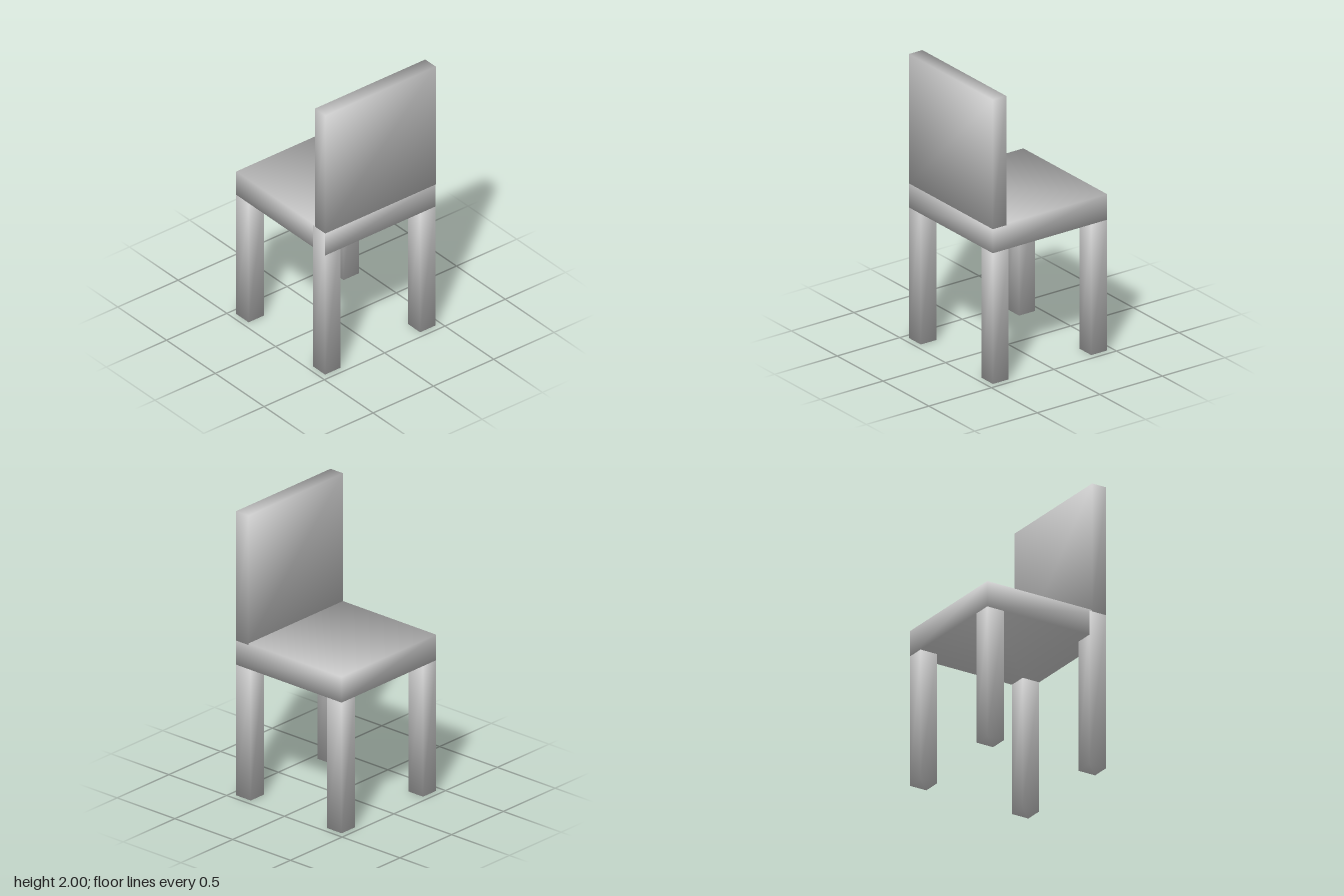
import * as THREE from 'three';
import { mergeVertices } from 'three/addons/utils/BufferGeometryUtils.js';

const material = new THREE.MeshStandardMaterial({ color: 0xcccccc });

// Box between two corners, with one shared normal per corner for soft shading
function softBox(name, [x0, y0, z0], [x1, y1, z1]) {
  const w = x1 - x0, h = y1 - y0, d = z1 - z0;
  let geometry = new THREE.BoxGeometry(w, h, d);
  geometry.deleteAttribute('normal');
  geometry.deleteAttribute('uv');
  geometry = mergeVertices(geometry);
  const p = geometry.attributes.position;
  const normals = [];
  const n = 1 / Math.sqrt(3);
  for (let i = 0; i < p.count; i++) {
    normals.push(Math.sign(p.getX(i)) * n, Math.sign(p.getY(i)) * n, Math.sign(p.getZ(i)) * n);
  }
  geometry.setAttribute('normal', new THREE.Float32BufferAttribute(normals, 3));
  const mesh = new THREE.Mesh(geometry, material);
  mesh.name = name;
  mesh.position.set(x0 + w / 2, y0 + h / 2, z0 + d / 2);
  return mesh;
}

export function createModel() {
  const chair = new THREE.Group();
  chair.name = 'chair';

  // Seat slab and upright backrest along the +z edge
  chair.add(softBox('seat', [-0.457, 0.92, -0.457], [0.457, 1.1, 0.457]));
  chair.add(softBox('backrest', [-0.458, 1.09, 0.35], [0.458, 2, 0.458]));

  // Four square legs; the one at -x, +z runs up beside the seat to the backrest
  const outer = 0.457, inner = 0.33;
  for (const sx of [-1, 1]) {
    for (const sz of [-1, 1]) {
      const tall = sx < 0 && sz > 0;
      const out = tall ? 0.458 : outer;
      const x = sx < 0 ? [-out, -inner] : [inner, outer];
      const z = sz < 0 ? [-outer, -inner] : [inner, 0.456];
      const name = (sz > 0 ? 'backrestSide' : 'openSide') + (sx > 0 ? 'LeftLeg' : 'RightLeg');
      chair.add(softBox(name, [x[0], 0, z[0]], [x[1], tall ? 1.09 : 0.92, z[1]]));
    }
  }
  return chair;
}
